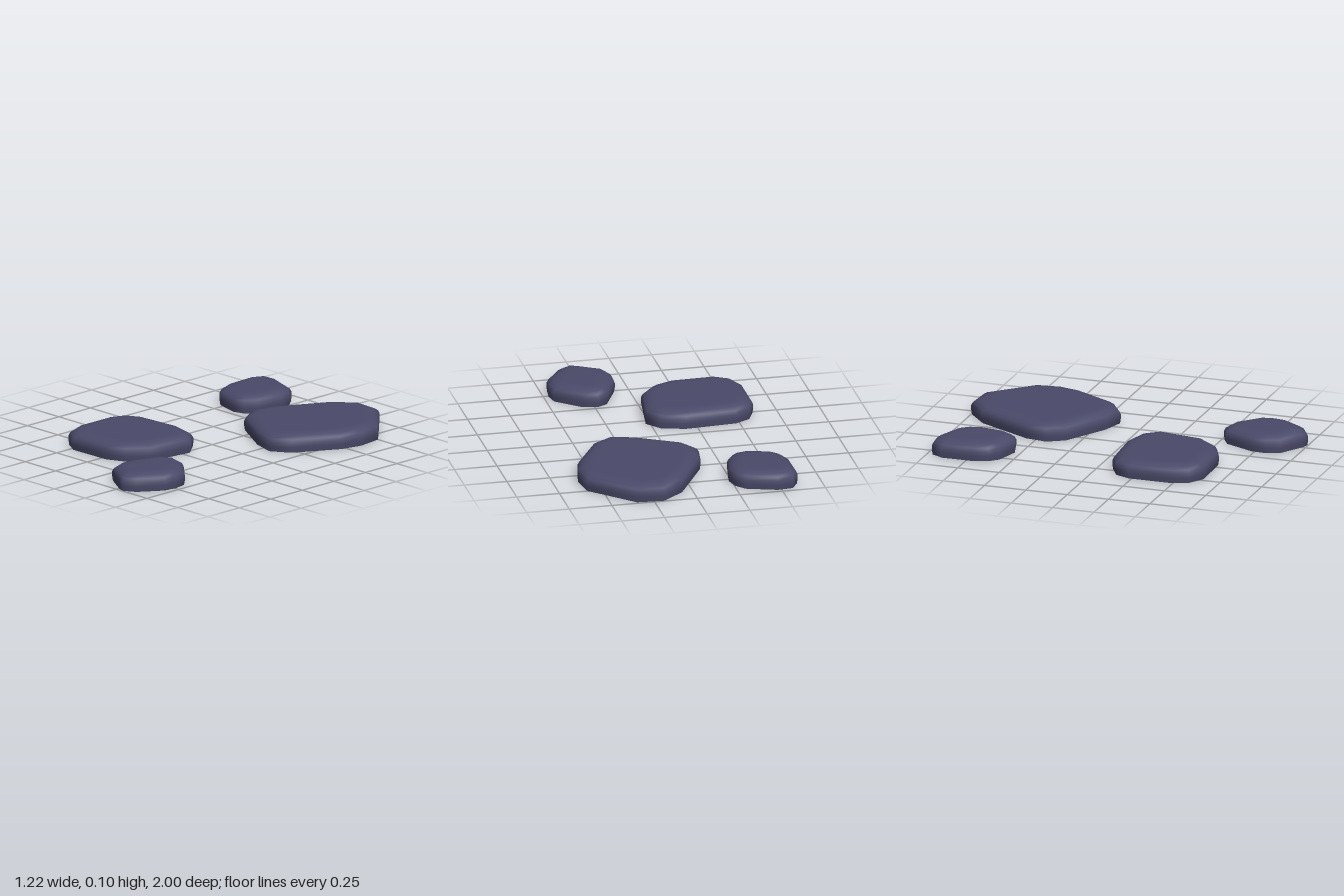
import * as THREE from 'three';

// Stone outlines as [x, z], clockwise seen from above
const STONES = {
  backRightStone: [[-.57, -.97], [-.48, -.98], [-.3, -.92], [-.25, -.86], [-.23, -.78], [-.26, -.62],
    [-.31, -.55], [-.38, -.53], [-.53, -.57], [-.58, -.62], [-.61, -.7], [-.61, -.9]],
  backLeftStone: [[.19, -1], [.35, -.99], [.59, -.75], [.61, -.6], [.58, -.47], [.43, -.21],
    [.32, -.14], [.18, -.18], [-.08, -.33], [-.14, -.43], [-.12, -.56], [.06, -.89]],
  frontRightStone: [[-.48, .09], [-.18, .07], [-.04, .11], [.03, .2], [-.01, .48], [-.1, .59],
    [-.21, .64], [-.48, .645], [-.57, .59], [-.61, .49], [-.61, .23], [-.57, .14]],
  frontLeftStone: [[.23, .515], [.32, .535], [.46, .66], [.475, .74], [.465, .82], [.37, .96],
    [.3, 1], [.26, .99], [.11, .9], [.08, .82], [.085, .73], [.17, .55]],
};

// Rounded edge as [height, inset]
const PROFILE = [[0, .005], [.03, 0], [.055, 0], [.075, .011], [.09, .035], [.098, .065], [.1, .1]];

// Stack inset copies of the outline, close the top, leave the underside open
function stoneGeometry(outline) {
  const n = outline.length;
  const cx = outline.reduce((s, p) => s + p[0], 0) / n;
  const cz = outline.reduce((s, p) => s + p[1], 0) / n;
  const positions = [], index = [];
  for (const [y, inset] of PROFILE) {
    for (const [x, z] of outline) {
      const k = 1 - inset / Math.hypot(x - cx, z - cz);
      positions.push(cx + (x - cx) * k, y, cz + (z - cz) * k);
    }
  }
  const top = (PROFILE.length - 1) * n, centre = PROFILE.length * n;
  positions.push(cx, .1, cz);
  for (let i = 0; i < n; i++) {
    const j = (i + 1) % n;
    for (let r = 0; r < top; r += n) {
      index.push(r + j, r + i, r + n + i, r + j, r + n + i, r + n + j);
    }
    index.push(centre, top + j, top + i);
  }
  const geometry = new THREE.BufferGeometry();
  geometry.setAttribute('position', new THREE.Float32BufferAttribute(positions, 3));
  geometry.setIndex(index);
  geometry.computeVertexNormals();
  return geometry;
}

export function createModel() {
  const group = new THREE.Group();
  group.name = 'steppingStones';
  const material = new THREE.MeshStandardMaterial({ color: 0x4a4a6a, side: THREE.DoubleSide });
  for (const [name, outline] of Object.entries(STONES)) {
    const stone = new THREE.Mesh(stoneGeometry(outline), material);
    stone.name = name;
    group.add(stone);
  }
  return group;
}
